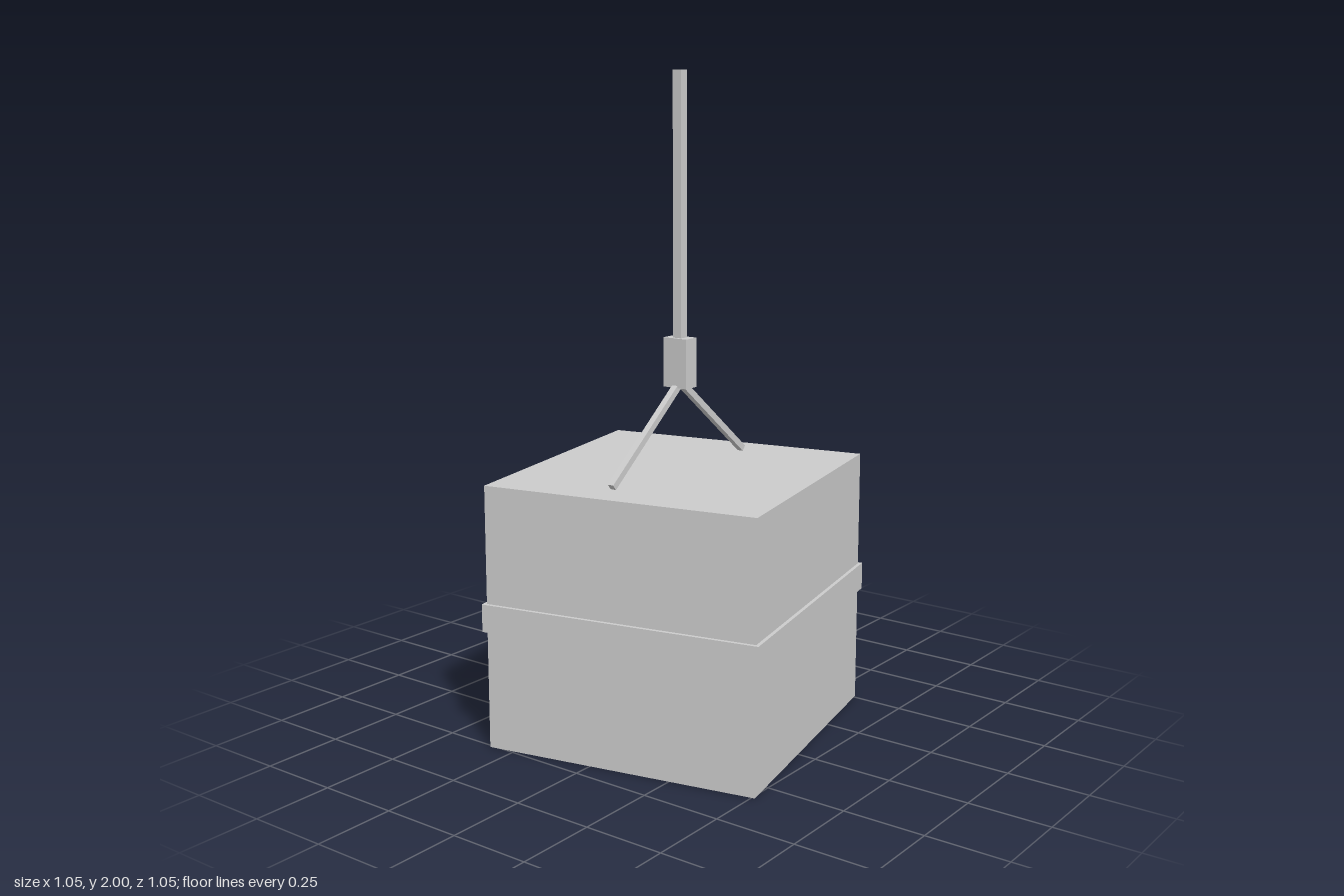
import * as THREE from 'three';

export function createModel() {
  const model = new THREE.Group();
  model.name = 'hangingCrate';
  const grey = new THREE.MeshStandardMaterial({ color: 0xcccccc });
  grey.name = 'plain grey';

  const box = (name, w, h, d, y, parent = model) => {
    const mesh = new THREE.Mesh(new THREE.BoxGeometry(w, h, d), grey);
    mesh.name = name;
    mesh.position.y = y;
    parent.add(mesh);
    return mesh;
  };

  // Load, turned slightly about the hanging line
  const load = new THREE.Group();
  load.name = 'load';
  load.rotation.y = THREE.MathUtils.degToRad(12);
  model.add(load);
  box('crate', 0.86, 0.81, 0.86, 0.405, load);
  box('strap', 0.882, 0.085, 0.882, 0.4075, load);

  // Hoist line and hook block
  box('cable', 0.03, 0.79, 0.03, 1.605);
  box('hookBlock', 0.084, 0.15, 0.052, 1.14);

  // Two sling legs spreading from the block to the crate top
  const top = new THREE.Vector3(0, 1.08, 0);
  for (const side of [1, -1]) {
    const foot = new THREE.Vector3(0, 0.818, side * 0.327);
    const leg = box(side > 0 ? 'frontSling' : 'backSling', 0.02, 0.02, top.distanceTo(foot), 0);
    leg.position.copy(top).add(foot).multiplyScalar(0.5);
    leg.lookAt(foot);
  }
  return model;
}
